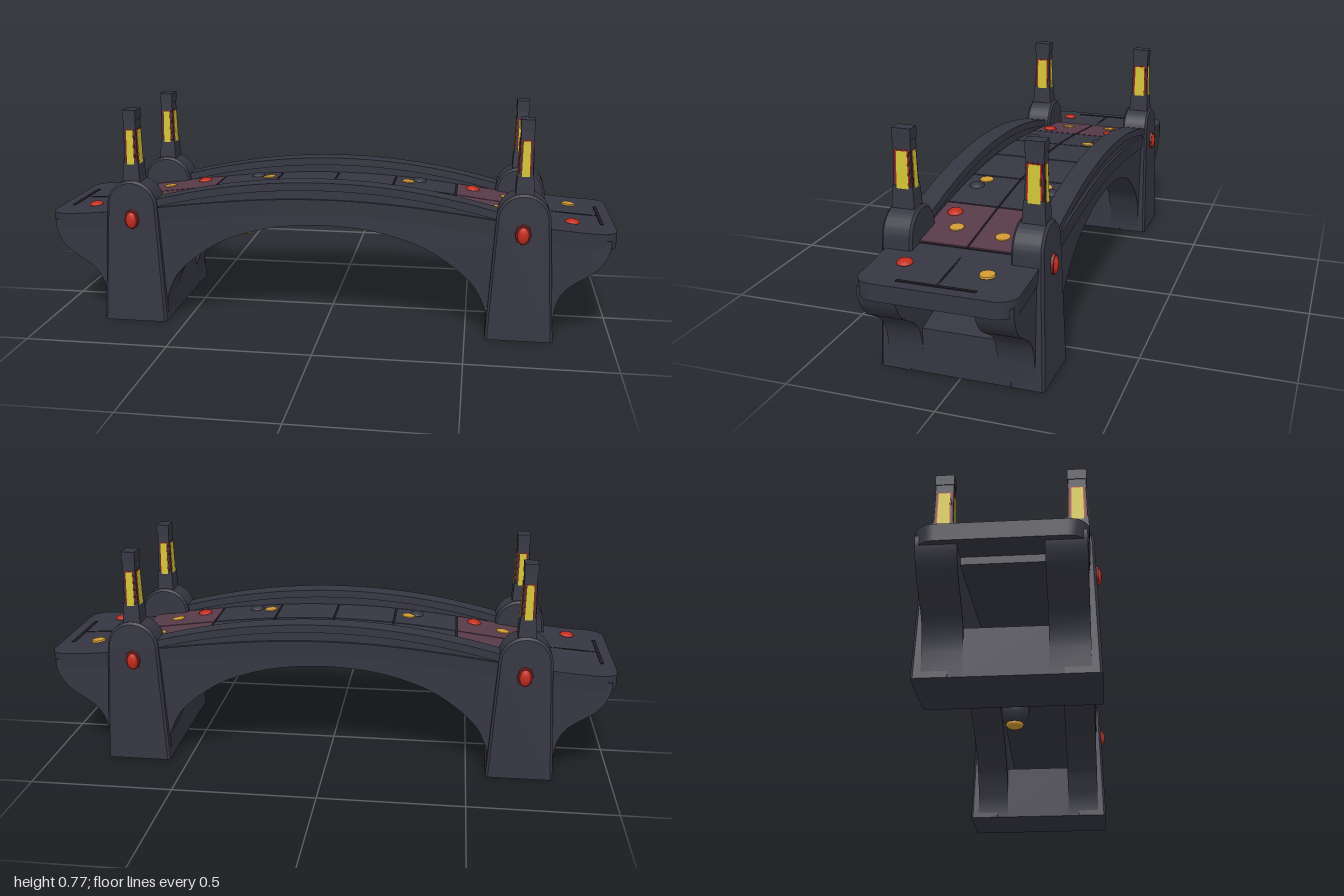
import * as THREE from 'three';
import { toCreasedNormals } from 'three/addons/utils/BufferGeometryUtils.js';

const mat = (name, color, side = THREE.FrontSide) => {
  const m = new THREE.MeshStandardMaterial({ color, side });
  m.name = name;
  return m;
};

// Height of the walking surface and of the parapet along the bridge
const deckY = (x) => 0.385 + 0.085 * (1 - x * x) ** 2;
const railY = (x) => 0.53 - 0.08 * (x / 0.6) ** 2;

export function createModel() {
  const stone = mat('dark stone', 0x363642);
  const seam = mat('dark seam', 0x1c1c24);
  const purple = mat('purple slab', 0x573a48);
  const yellow = mat('lantern yellow', 0xd2c436);
  const red = mat('gem red', 0xc22c1c);
  const maroon = mat('maroon trim', 0x7c1f20);
  const orange = mat('orange spot', 0xd09a34);

  const root = new THREE.Group();
  const add = (name, geo, material, parent = root, x = 0, y = 0, z = 0) => {
    const mesh = new THREE.Mesh(geo, material);
    mesh.name = name;
    mesh.position.set(x, y, z);
    parent.add(mesh);
    return mesh;
  };
  const crease = (geo) => toCreasedNormals(geo, 0.6);

  // A box bent along the bridge between a lower and an upper height curve
  const curved = (x0, x1, z0, z1, bottom, top, segs = 24) => {
    const geo = new THREE.BoxGeometry(1, 1, 1, segs, 1, 1);
    const p = geo.attributes.position;
    for (let i = 0; i < p.count; i++) {
      const x = x0 + (p.getX(i) + 0.5) * (x1 - x0);
      p.setXYZ(i, x, p.getY(i) > 0 ? top(x) : bottom(x), p.getZ(i) > 0 ? z1 : z0);
    }
    return crease(geo);
  };

  // A box standing on y = 0 that narrows towards its top
  const taper = (w, h, d, k = 1) => {
    const geo = new THREE.BoxGeometry(w, h, d).translate(0, h / 2, 0);
    const p = geo.attributes.position;
    for (let i = 0; i < p.count; i++)
      if (p.getY(i) > h / 2) p.setXYZ(i, p.getX(i) * k, h, p.getZ(i) * k);
    geo.computeVertexNormals();
    return geo;
  };

  // Deck slab with rounded plan corners
  const slab = new THREE.BoxGeometry(2, 1, 2, 90, 1, 1);
  const sp = slab.attributes.position;
  for (let i = 0; i < sp.count; i++) {
    const x = Math.sin(sp.getX(i) * Math.PI / 2);
    const over = Math.max(0, Math.abs(x) - 0.94);
    const half = 0.19 + Math.sqrt(Math.max(0, 0.0036 - over * over));
    const up = sp.getY(i) > 0;
    sp.setXYZ(i, x, deckY(x) - (up ? 0 : 0.055), Math.sign(sp.getZ(i)) * half * (up ? 1 : 0.985));
  }
  add('deck', crease(slab), stone);
  add('deckUnderside', curved(-0.9, 0.9, -0.14, 0.14, (x) => deckY(x) - 0.08, (x) => deckY(x) - 0.04, 40), stone);

  // Side walls: arch opening, legs and end brackets in one outline
  const wall = new THREE.Shape();
  wall.moveTo(0.57, 0);
  wall.lineTo(0.8, 0);
  wall.lineTo(0.8, 0.08);
  wall.bezierCurveTo(0.81, 0.2, 0.87, 0.2, 0.93, 0.25);
  wall.quadraticCurveTo(0.97, 0.285, 0.98, 0.34);
  for (let i = 0; i <= 40; i++) {
    const x = 0.98 - i * 0.049;
    wall.lineTo(x, deckY(x) - 0.025);
  }
  wall.lineTo(-0.98, 0.34);
  wall.quadraticCurveTo(-0.97, 0.285, -0.93, 0.25);
  wall.bezierCurveTo(-0.87, 0.2, -0.81, 0.2, -0.8, 0.08);
  wall.lineTo(-0.8, 0);
  wall.lineTo(-0.57, 0);
  const arch = [[-0.57, 0.09], [-0.53, 0.175], [-0.45, 0.25], [-0.34, 0.315], [-0.18, 0.362], [0, 0.377]];
  const archPts = [...arch, ...arch.slice(0, 5).reverse().map(([x, y]) => [-x, y])];
  wall.lineTo(-0.57, 0.09);
  wall.splineThru(archPts.slice(1).map(([x, y]) => new THREE.Vector2(x, y)));
  const wallGeo = crease(new THREE.ExtrudeGeometry(wall, { depth: 0.12, bevelEnabled: false, curveSegments: 12 }));

  for (const s of [1, -1]) {
    add('archWall', wallGeo, stone, root, 0, 0, s > 0 ? 0.124 : -0.244);
    // Parapet with an overhanging coping
    const zs = (a, b) => (s > 0 ? [a, b] : [-b, -a]);
    add('parapet', curved(-0.66, 0.66, ...zs(0.185, 0.241), (x) => deckY(x) - 0.03, (x) => railY(x) - 0.02, 40), stone);
    add('coping', curved(-0.66, 0.66, ...zs(0.179, 0.25), (x) => railY(x) - 0.028, railY, 40), stone);
  }

  // Low cross walls joining the legs
  for (const s of [1, -1]) {
    const cross = new THREE.Shape([[0.57, 0], [0.8, 0], [0.8, 0.155], [0.57, 0.205]].map(([x, y]) => new THREE.Vector2(x, y)));
    const geo = new THREE.ExtrudeGeometry(cross, { depth: 0.26, bevelEnabled: false });
    const mesh = add('crossWall', geo, stone, root, 0, 0, -s * 0.13);
    mesh.rotation.y = s > 0 ? 0 : Math.PI;
  }

  // Paving slabs with dark joints
  add('pavingJoints', curved(-0.72, 0.72, -0.178, 0.178, (x) => deckY(x) - 0.01, (x) => deckY(x) + 0.002, 40), seam);
  const cuts = [-0.72, -0.45, -0.22, 0, 0.22, 0.45, 0.72];
  for (let i = 0; i < 6; i++)
    for (const [z0, z1] of [[-0.177, -0.003], [0.003, 0.177]])
      add('pavingSlab', curved(cuts[i] + 0.003, cuts[i + 1] - 0.003, z0, z1, deckY, (x) => deckY(x) + 0.006, 8),
        i === 0 || i === 5 ? purple : stone);
  for (const s of [1, -1]) {
    add('endGroove', new THREE.BoxGeometry(0.012, 0.004, 0.25), seam, root, s * 0.957, deckY(0.957), 0);
    add('endJoint', new THREE.BoxGeometry(0.26, 0.004, 0.006), seam, root, s * 0.86, deckY(0.86), 0)
      .rotation.z = -s * 0.07;
  }

  // Spots and studs on the deck
  const disc = new THREE.CylinderGeometry(0.024, 0.026, 0.006, 10);
  const dome = new THREE.SphereGeometry(0.026, 12, 5, 0, Math.PI * 2, 0, Math.PI / 2).scale(1, 0.5, 1);
  const scatter = (name, geo, material, list) => list.forEach(([x, z]) => {
    const m = add(name, geo, material, root, x, deckY(x) + 0.006, z);
    m.rotation.z = Math.atan(-0.34 * x * (1 - x * x));
  });
  scatter('orangeSpot', disc, orange, [[-0.65, -0.09], [-0.62, 0.08], [-0.26, -0.105], [-0.27, 0.1],
    [0.27, -0.105], [0.255, 0.115], [0.635, -0.085], [0.61, 0.08], [0.86, -0.12]]);
  scatter('redStud', dome, red, [[-0.52, -0.125], [-0.515, 0.13], [-0.86, 0.145], [0.51, -0.125], [0.515, 0.125], [0.855, 0.145]]);
  scatter('stoneStud', dome, stone, [[-0.31, -0.135], [-0.3, 0.13], [0.31, -0.135], [0.31, 0.13]]);

  // Growths hanging below the deck
  for (const [x, z] of [[-0.32, 0.065], [0.32, -0.075]]) {
    add('underGrowth', new THREE.SphereGeometry(0.06, 14, 10).scale(1, 1.2, 1), stone, root, x, 0.366, z);
    add('underGrowthTip', new THREE.SphereGeometry(0.036, 12, 8).scale(1, 0.45, 1), orange, root, x, 0.302, z);
  }

  // Pillar outline: tapered sides under a round head
  const head = new THREE.Shape();
  head.moveTo(-0.108, 0);
  head.lineTo(0.108, 0);
  head.lineTo(0.083, 0.425);
  head.absarc(0, 0.425, 0.083, 0, Math.PI, false);
  head.lineTo(-0.108, 0);
  const pillarGeo = new THREE.ExtrudeGeometry(head, { depth: 0.099, bevelThickness: 0.008, bevelSize: 0.008, bevelSegments: 1, curveSegments: 20 });
  pillarGeo.translate(0, 0, 0.168);
  const pp = pillarGeo.attributes.position;
  for (let i = 0; i < pp.count; i++) {
    const y = Math.max(0, pp.getY(i));
    pp.setY(i, y);
    if (pp.getZ(i) > 0.22) pp.setZ(i, pp.getZ(i) - 0.028 * y);
  }
  const pillar = crease(pillarGeo);

  // Four pillars, each with a gem and a lantern post
  for (const sx of [1, -1]) for (const sz of [1, -1]) {
    const g = new THREE.Group();
    g.name = 'pillarWithLantern';
    g.position.x = sx * 0.685;
    g.rotation.y = sz > 0 ? 0 : Math.PI;
    root.add(g);
    add('pillar', pillar, stone, g);

    const rim = new THREE.CylinderGeometry(0.026, 0.029, 0.012, 8).rotateX(Math.PI / 2).scale(1, 1.3, 1);
    add('gemRim', rim, maroon, g, 0, 0.378, 0.266);
    add('gem', new THREE.SphereGeometry(1, 12, 8).scale(0.02, 0.03, 0.012), red, g, 0, 0.376, 0.27);

    const z = 0.213;
    add('postBase', taper(0.062, 0.075, 0.077, 0.87), stone, g, 0, 0.508, z);
    add('lanternShaft', taper(0.048, 0.13, 0.063, 0.9), stone, g, 0, 0.572, z);
    // Lantern windows: trims and panes standing just proud of the shaft
    add('windowTrim', taper(0.052, 0.126, 0.053, 0.9), maroon, g, 0, 0.572, z);
    add('windowTrim', taper(0.036, 0.126, 0.067, 0.9), maroon, g, 0, 0.572, z);
    add('windowEdge', taper(0.0535, 0.124, 0.046, 0.9), red, g, 0, 0.572, z);
    add('windowPane', taper(0.055, 0.12, 0.04, 0.9), yellow, g, 0, 0.574, z);
    add('windowPane', taper(0.026, 0.12, 0.07, 0.9), yellow, g, 0, 0.574, z);
    add('capLower', taper(0.043, 0.033, 0.06, 0.95), stone, g, 0, 0.697, z);
    add('capUpper', taper(0.046, 0.037, 0.062), stone, g, 0, 0.729, z);
  }
  return root;
}
